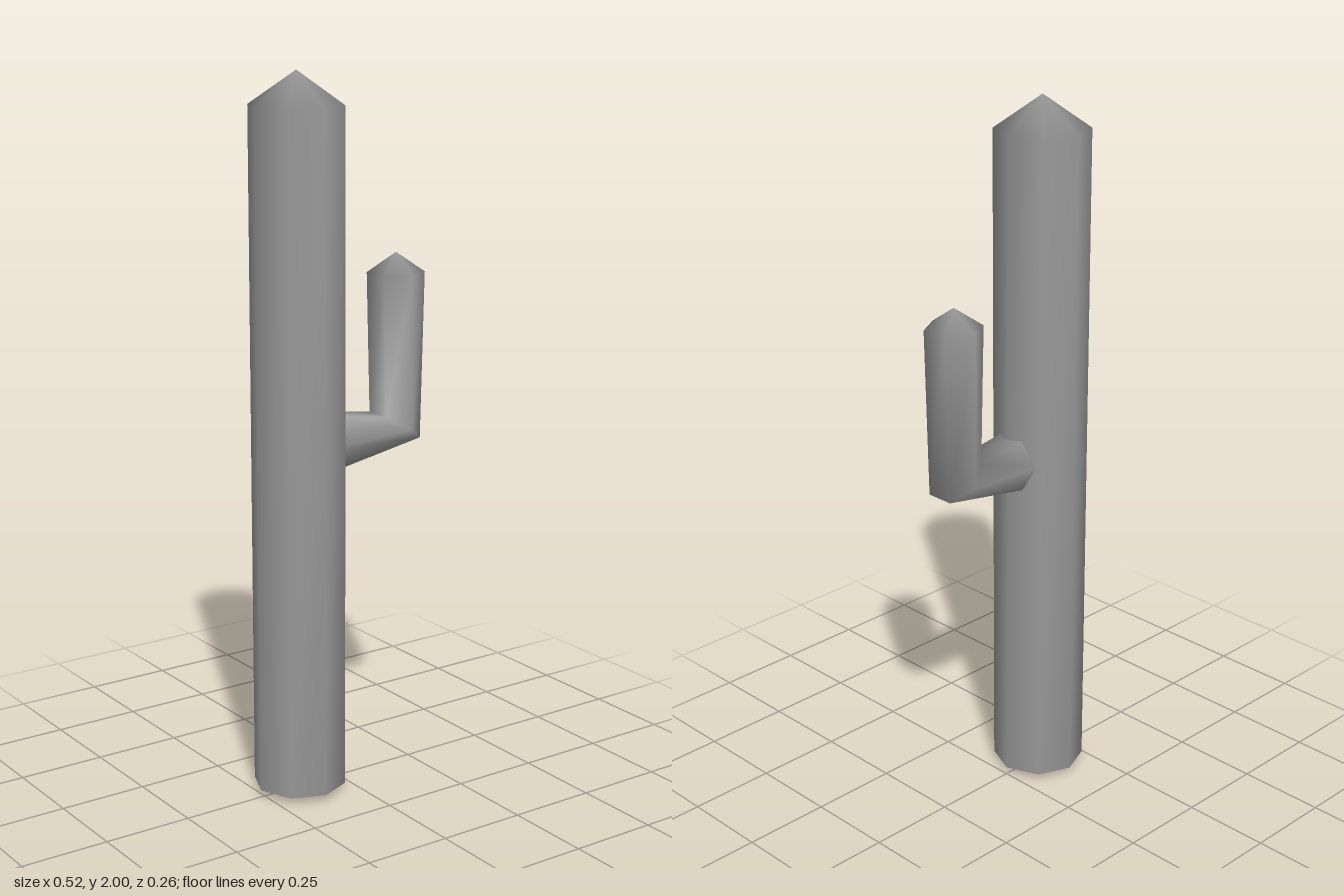
import * as THREE from 'three';

// Smooth closed tube: rings of {centre, side axis v}, pointed at both ends.
// Each ring is spanned by the z axis (radius r) and its own v vector.
function pointedTube(sides, r, rings, startTip, endTip) {
  const pos = [], index = [];
  for (const { c, v } of rings) {
    for (let i = 0; i < sides; i++) {
      const a = (i / sides) * Math.PI * 2, s = Math.sin(a);
      pos.push(c[0] + v[0] * s, c[1] + v[1] * s, r * Math.cos(a));
    }
  }
  const start = rings.length * sides, end = start + 1;
  const last = (rings.length - 1) * sides;
  pos.push(...startTip, 0, ...endTip, 0);
  for (let i = 0; i < sides; i++) {
    const j = (i + 1) % sides;
    for (let k = 0; k < last; k += sides) {
      index.push(k + i, k + j, k + sides + j, k + i, k + sides + j, k + sides + i);
    }
    index.push(start, j, i, end, last + i, last + j);
  }
  const geo = new THREE.BufferGeometry();
  geo.setAttribute('position', new THREE.Float32BufferAttribute(pos, 3));
  geo.setIndex(index);
  geo.computeVertexNormals();
  return geo;
}

export function createModel() {
  const group = new THREE.Group();
  group.name = 'cactus';
  const grey = new THREE.MeshStandardMaterial({ color: 0x999999 });
  grey.name = 'plain grey';

  // Eight-sided upright stem
  const stem = new THREE.Mesh(pointedTube(8, 0.13, [
    { c: [-0.132, 0.02], v: [0.13, 0] },
    { c: [-0.132, 1.91], v: [0.13, 0] },
  ], [-0.132, 0], [-0.132, 2]), grey);
  stem.name = 'stem';

  // Six-sided arm: root inside the stem, mitred elbow, raised tip
  const arm = new THREE.Mesh(pointedTube(6, 0.08, [
    { c: [-0.06, 0.995], v: [0, -0.092] },
    { c: [0.193, 1.008], v: [0.067, -0.043] },
    { c: [0.193, 1.44], v: [0.08, 0] },
  ], [-0.09, 0.995], [0.193, 1.495]), grey);
  arm.name = 'arm';

  group.add(stem, arm);
  return group;
}
